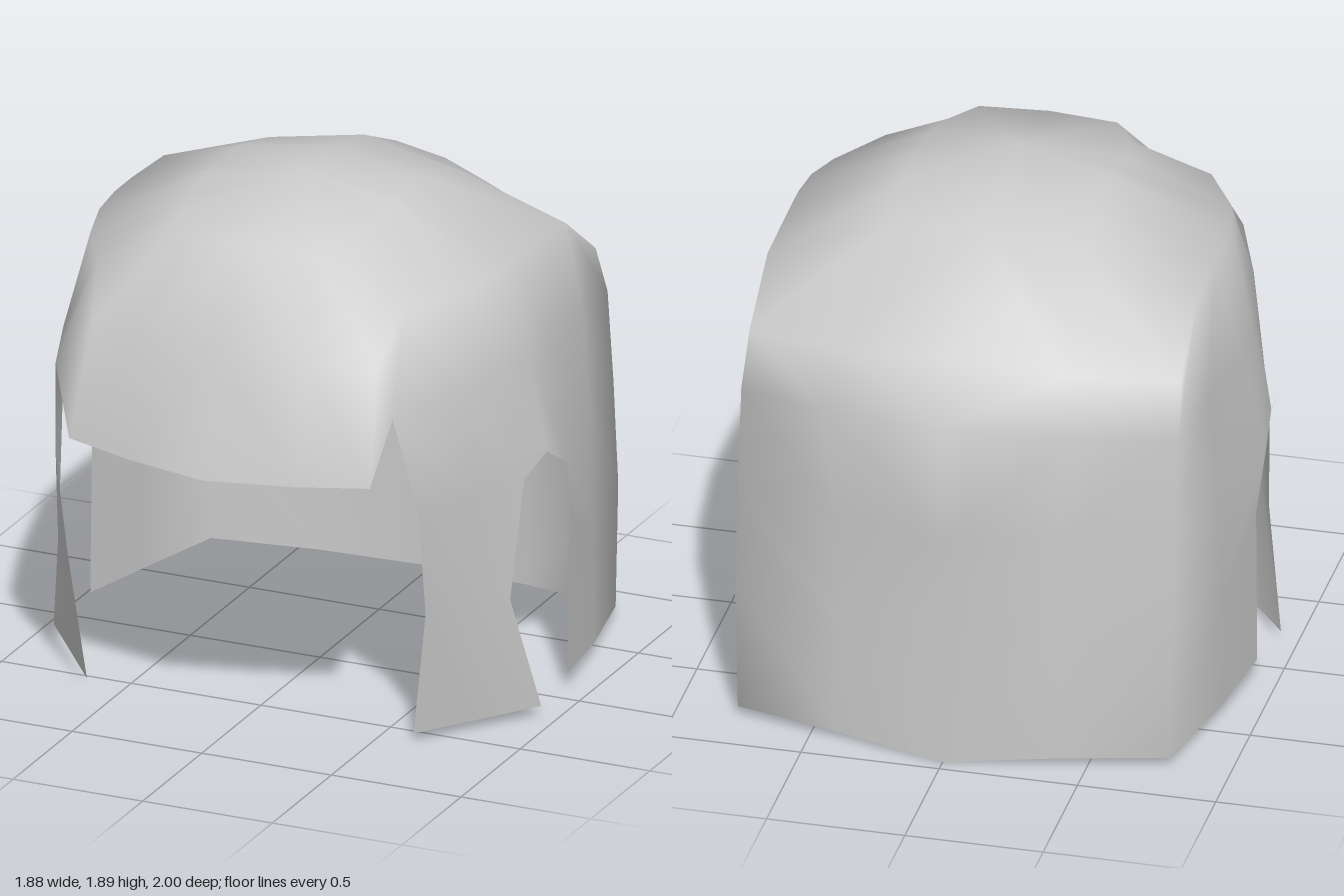
import * as THREE from 'three';
import { mergeVertices } from 'three/addons/utils/BufferGeometryUtils.js';

// Each rib runs from the crown down to the lower edge, on the left half (+x).
const frontCrown = [0, 1.89, 0.15];
const midCrown = [0, 1.875, -0.15];
const backCrown = [0, 1.84, -0.37];

// Fringe, from the centre out to its corner
const fringeRibs = [
  [frontCrown, [0, 1.775, 0.61], [0, 1.48, 0.86], [0, 1.03, 1]],
  [frontCrown, [0.25, 1.775, 0.585], [0.33, 1.47, 0.83], [0.32, 1.03, 0.925]],
  [frontCrown, [0.33, 1.785, 0.45], [0.55, 1.44, 0.72], [0.58, 1.04, 0.85]],
];

// Sideburn, ear arch and front edge of the back panel
const sideRibs = [
  [frontCrown, [0.36, 1.805, 0.3], [0.59, 1.61, 0.59], [0.65, 1.3, 0.81], [0.7, 0.9, 0.7], [0.69, 0.5, 0.62], [0.63, 0.03, 0.59]],
  [frontCrown, [0.36, 1.835, 0.15], [0.72, 1.62, 0.36], [0.77, 1.3, 0.48], [0.8, 0.9, 0.45], [0.8, 0.48, 0.46], [0.785, 0.035, 0.39]],
  [frontCrown, [0.36, 1.835, 0.1], [0.76, 1.64, 0.2], [0.83, 1.3, 0.25], [0.89, 0.9, 0.225], [0.87, 0.47, 0.3], [0.94, 0.04, 0.19]],
  [frontCrown, [0.36, 1.835, 0.05], [0.77, 1.65, 0.05], [0.86, 1.3, 0.1], [0.925, 0.97, 0.11]],
  [midCrown, [0.36, 1.835, -0.1], [0.77, 1.65, -0.1], [0.865, 1.3, -0.08], [0.94, 0.88, -0.03], [0.92, 0.66, -0.09], [0.92, 0.065, -0.075]],
];

// Back panel, from behind the ear to the centre of the back
const backRibs = [
  [backCrown, [0.36, 1.775, -0.36], [0.775, 1.63, -0.38], [0.83, 1.3, -0.4], [0.86, 0.88, -0.4], [0.87, 0.48, -0.4], [0.87, 0.045, -0.4]],
  [backCrown, [0.36, 1.65, -0.59], [0.78, 1.45, -0.62], [0.79, 1.26, -0.7], [0.79, 0.9, -0.75], [0.79, 0.5, -0.79], [0.78, 0.035, -0.79]],
  [backCrown, [0.2, 1.695, -0.62], [0.4, 1.49, -0.76], [0.45, 1.31, -0.875], [0.4, 0.9, -0.885], [0.4, 0.5, -0.88], [0.4, 0.025, -0.87]],
  [backCrown, [0, 1.72, -0.64], [0, 1.54, -0.82], [0, 1.355, -1], [0, 0.9, -0.97], [0, 0.6, -0.95], [0, 0, -0.95]],
];

// Joins neighbouring ribs into a shell, with its mirror image
function shellGeometry(ribs) {
  const positions = [];
  const addTriangle = (a, b, c) => {
    if (a === b || b === c || c === a) return;
    positions.push(...a, ...b, ...c);
    for (const [x, y, z] of [a, c, b]) positions.push(-x, y, z);
  };
  for (let i = 0; i < ribs.length - 1; i++) {
    const p = ribs[i], q = ribs[i + 1];
    const rows = Math.min(p.length, q.length) - 1;
    for (let r = 0; r < rows; r++) {
      addTriangle(p[r], p[r + 1], q[r + 1]);
      addTriangle(p[r], q[r + 1], q[r]);
    }
  }
  const soup = new THREE.BufferGeometry();
  soup.setAttribute('position', new THREE.Float32BufferAttribute(positions, 3));
  const geometry = mergeVertices(soup, 1e-4);
  geometry.computeVertexNormals();
  return geometry;
}

export function createModel() {
  const group = new THREE.Group();
  group.name = 'hairPiece';
  const material = new THREE.MeshStandardMaterial({ color: 0xcccccc, side: THREE.DoubleSide });
  const hair = new THREE.Mesh(shellGeometry([...fringeRibs, ...sideRibs, ...backRibs]), material);
  hair.name = 'hairShell';
  group.add(hair);
  return group;
}
